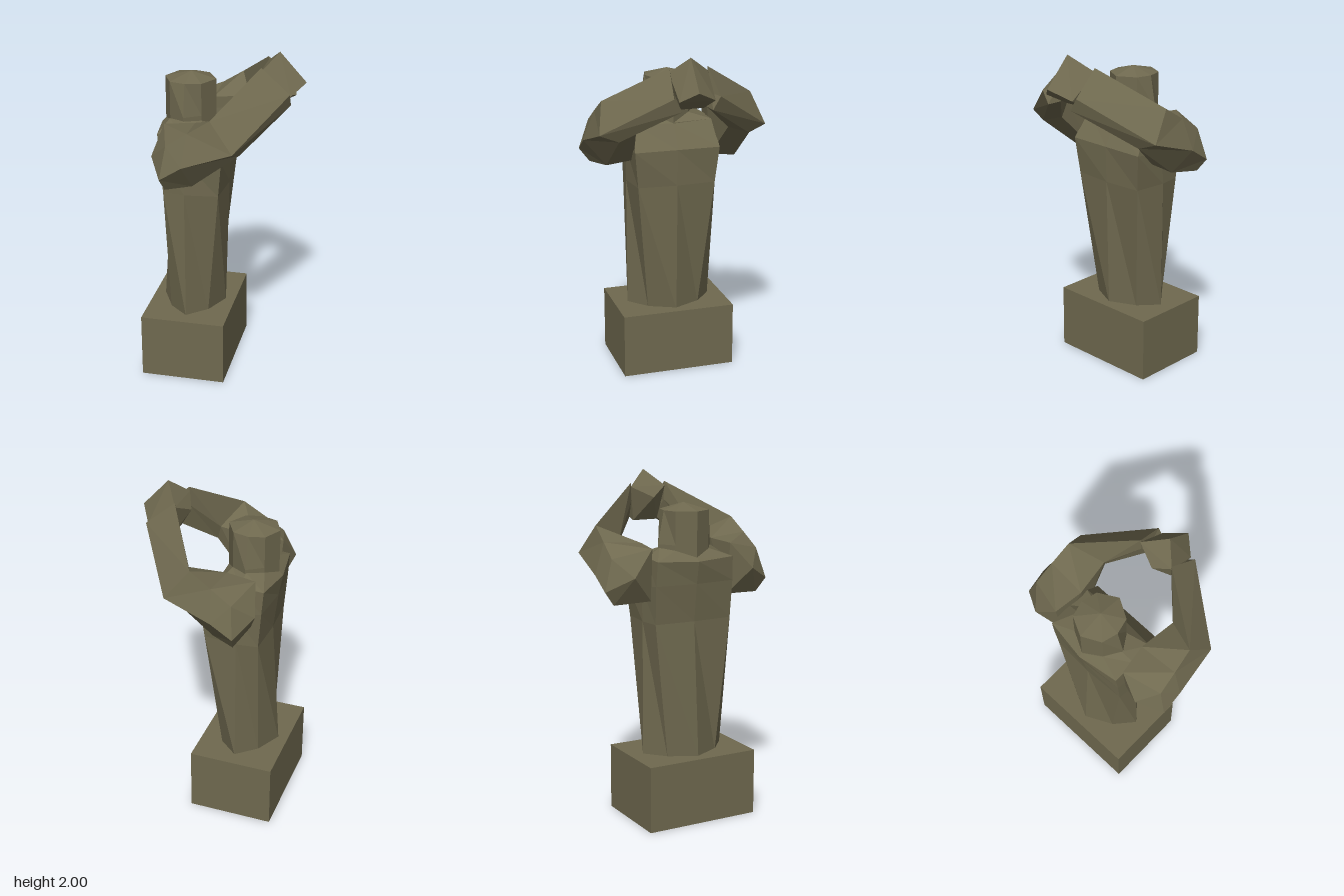
import * as THREE from 'three';
import { ConvexGeometry } from 'three/addons/geometries/ConvexGeometry.js';

const stone = new THREE.MeshStandardMaterial({ color: 0x6f694f });
stone.name = 'olive stone';

// Faceted skin through rings of [x, y, z]; ends close on a given apex or the ring centre.
function loft(rings, startApex, endApex) {
  const n = rings[0].length;
  const centre = (ring) => [0, 1, 2].map((k) => ring.reduce((s, p) => s + p[k], 0) / n);
  const first = rings[0], last = rings[rings.length - 1];
  const a = startApex || centre(first), b = endApex || centre(last);
  const tris = [];
  for (let i = 0; i < n; i++) {
    const j = (i + 1) % n;
    tris.push([a, first[j], first[i]], [b, last[i], last[j]]);
    for (let r = 0; r + 1 < rings.length; r++) {
      const lo = rings[r], hi = rings[r + 1];
      tris.push([lo[i], lo[j], hi[j]], [lo[i], hi[j], hi[i]]);
    }
  }
  // Signed volume decides which way the corners must run
  let volume = 0;
  for (const [p, q, s] of tris) {
    volume += new THREE.Vector3(...p).dot(new THREE.Vector3(...q).cross(new THREE.Vector3(...s)));
  }
  if (volume < 0) tris.forEach((t) => t.reverse());
  const geo = new THREE.BufferGeometry();
  geo.setAttribute('position', new THREE.Float32BufferAttribute(tris.flat(2), 3));
  geo.computeVertexNormals();
  return geo;
}

const flipZ = ([x, y, z]) => [x, y, -z];
// Completes a half ring whose first and last points lie on z = 0
const mirrorRing = (half) => [...half, ...half.slice(1, -1).reverse().map(flipZ)];

export function createModel() {
  const group = new THREE.Group();
  const add = (name, geometry) => {
    const mesh = new THREE.Mesh(geometry, stone);
    mesh.name = name;
    group.add(mesh);
    return mesh;
  };

  // Square plinth
  add('plinth', new THREE.BoxGeometry(0.505, 0.39, 0.695)).position.set(-0.208, 0.195, 0);

  // Eight-sided torso: half rings from chest to back, widening to square shoulders
  const torso = [
    [[-0.015, 0.38, 0], [-0.09, 0.38, 0.16], [-0.205, 0.38, 0.26], [-0.32, 0.38, 0.16], [-0.4, 0.38, 0]],
    [[0.008, 1.18, 0], [-0.008, 1.18, 0.238], [-0.205, 1.18, 0.26], [-0.333, 1.18, 0.245], [-0.345, 1.18, 0]],
    [[0.015, 1.4, 0], [0.015, 1.4, 0.26], [-0.19, 1.38, 0.26], [-0.35, 1.4, 0.25], [-0.372, 1.4, 0]],
    [[-0.07, 1.54, 0], [-0.085, 1.55, 0.24], [-0.22, 1.55, 0.245], [-0.36, 1.54, 0.245], [-0.395, 1.53, 0]],
    [[-0.07, 1.545, 0], [-0.13, 1.59, 0.11], [-0.23, 1.6, 0.165], [-0.32, 1.59, 0.11], [-0.375, 1.55, 0]],
  ];
  add('torso', loft(torso.map(mirrorRing)));

  // Eight-sided head with a low peak
  const headRing = (y, side) => mirrorRing([
    [-0.07, y, 0], [-0.133, y, 0.11], [-0.225, y, side], [-0.318, y, 0.108], [-0.372, y, 0],
  ]);
  add('head', loft([headRing(1.52, 0.17), headRing(1.62, 0.17), headRing(1.81, 0.133)], null, [-0.215, 1.85, 0]));

  // Raised arm: shoulder, upper arm, elbow, wrist
  // (each ring: top, outer, low, inner low, inner top)
  const arm = [
    [[-0.25, 1.56, 0.475], [-0.275, 1.38, 0.53], [-0.26, 1.3, 0.47], [-0.29, 1.31, 0.25], [-0.315, 1.61, 0.255]],
    [[-0.13, 1.64, 0.465], [-0.15, 1.46, 0.53], [-0.12, 1.305, 0.4], [-0.1, 1.33, 0.24], [-0.14, 1.62, 0.23]],
    [[-0.005, 1.72, 0.453], [0.13, 1.55, 0.5], [0.15, 1.51, 0.39], [0.1, 1.54, 0.28], [0.075, 1.63, 0.26]],
    [[0.212, 1.93, 0.112], [0.38, 1.79, 0.135], [0.38, 1.715, 0.09], [0.29, 1.715, 0.085], [0.215, 1.82, 0.11]],
  ];
  const shoulder = [-0.357, 1.46, 0.385];
  add('leftArm', loft(arm, shoulder));
  add('rightArm', loft(arm.map((ring) => ring.map(flipZ)), flipZ(shoulder)));

  // Joined hands with a sharp ridge
  const hands = [[0.3, 2.0, 0.015], [0.455, 1.83, 0.015], [0.163, 1.84, 0.015]];
  for (const p of [[0.21, 1.905, 0.115], [0.38, 1.77, 0.105], [0.25, 1.7, 0.08]]) hands.push(p, flipZ(p));
  add('joinedHands', new ConvexGeometry(hands.map((p) => new THREE.Vector3(...p))));

  return group;
}
